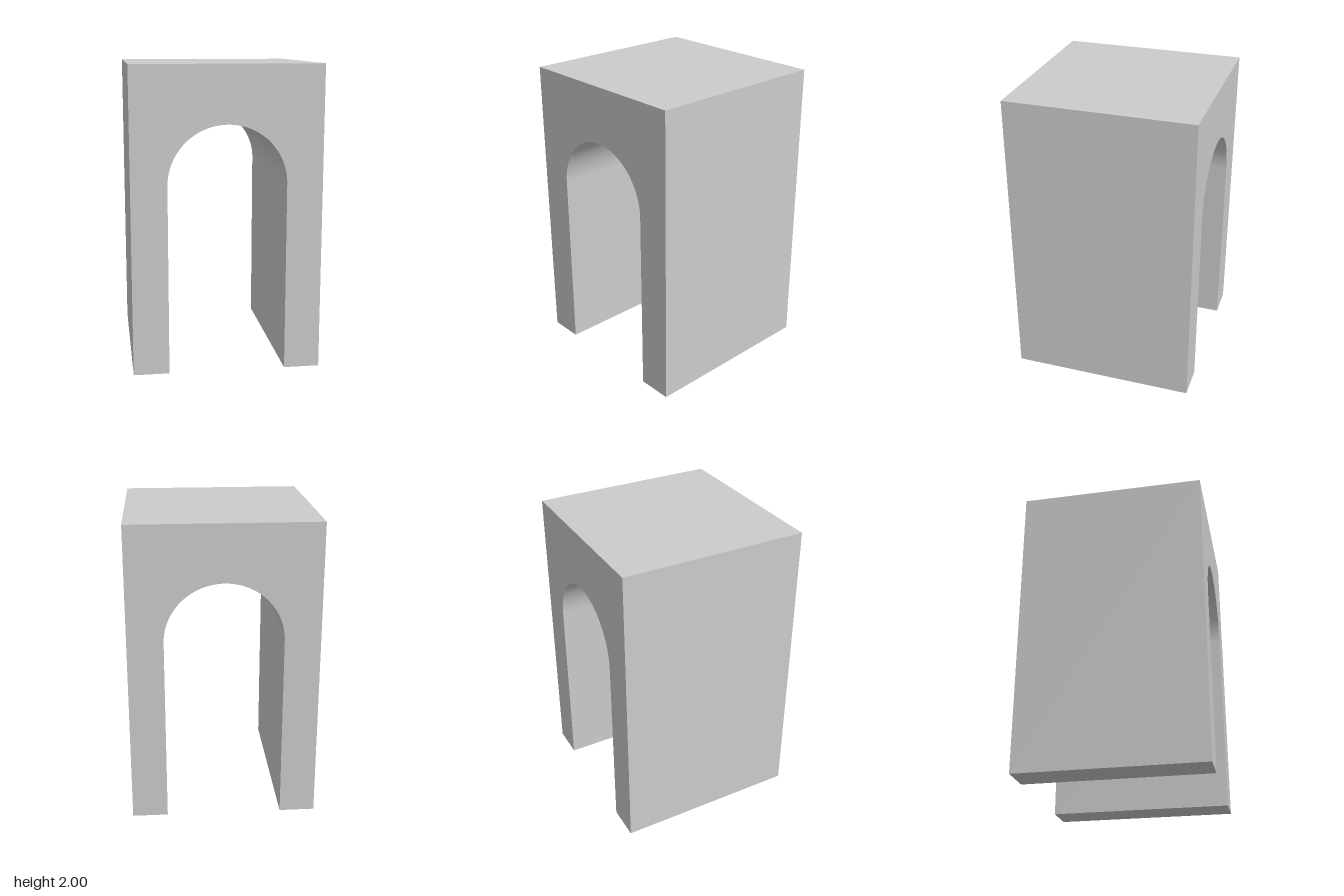
import * as THREE from 'three';
import { toCreasedNormals } from 'three/addons/utils/BufferGeometryUtils.js';

const HALF = 0.617;      // half of the square footprint
const HEIGHT = 2;
const RADIUS = 0.383;    // half width of the opening
const SPRING = 1.242;    // height where the round arch begins

export function createModel() {
  const group = new THREE.Group();
  group.name = 'archway';

  // Front outline: a block with a round-headed passage open at the bottom
  const outline = new THREE.Shape();
  outline.moveTo(-HALF, 0);
  outline.lineTo(-RADIUS, 0);
  outline.lineTo(-RADIUS, SPRING);
  outline.absarc(0, SPRING, RADIUS, Math.PI, 0, true);
  outline.lineTo(RADIUS, 0);
  outline.lineTo(HALF, 0);
  outline.lineTo(HALF, HEIGHT);
  outline.lineTo(-HALF, HEIGHT);
  outline.closePath();

  // Run the outline through the full depth, keeping only the vault smooth
  const geometry = new THREE.ExtrudeGeometry(outline, {
    depth: HALF * 2,
    bevelEnabled: false,
    curveSegments: 32,
  });
  geometry.translate(0, 0, -HALF);

  const block = new THREE.Mesh(
    toCreasedNormals(geometry, 0.5),
    new THREE.MeshStandardMaterial({ color: 0xcccccc }),
  );
  block.name = 'archBlock';
  group.add(block);
  return group;
}
